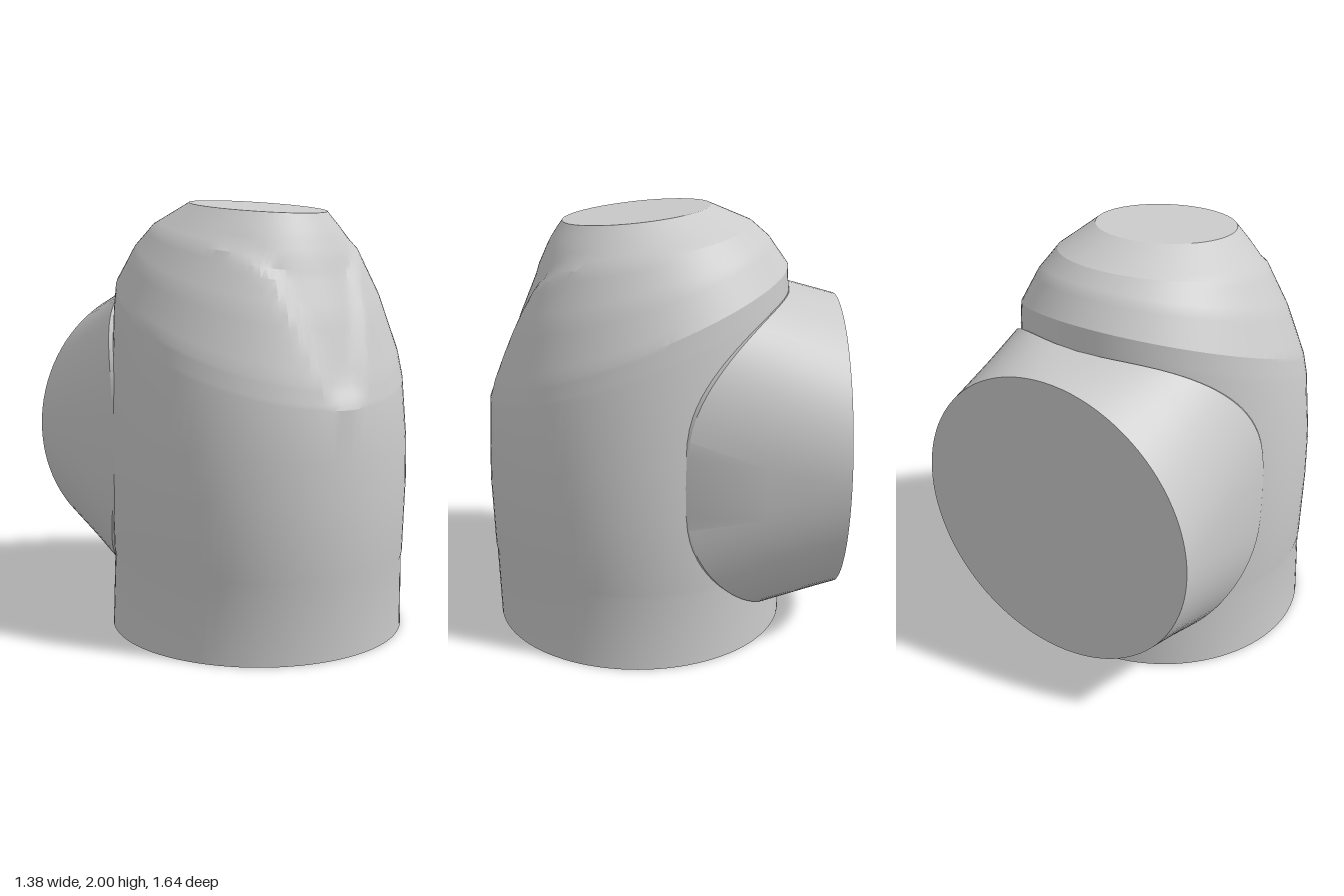
import * as THREE from 'three';
import { toCreasedNormals } from 'three/addons/utils/BufferGeometryUtils.js';

const SEG = 96;
const { lerp, smoothstep } = THREE.MathUtils;

// Skin a list of closed rings (arrays of Vector3), optionally capping the ends.
function loft(rings, capStart, capEnd, crease) {
  const pos = [], idx = [], n = rings[0].length;
  rings.forEach(r => r.forEach(p => pos.push(p.x, p.y, p.z)));
  for (let r = 0; r < rings.length - 1; r++) {
    for (let i = 0; i < n; i++) {
      const a = r * n + i, b = r * n + (i + 1) % n;
      idx.push(a, b, b + n, a, b + n, a + n);
    }
  }
  const cap = (r, flip) => {
    const c = new THREE.Vector3();
    rings[r].forEach(p => c.addScaledVector(p, 1 / n));
    const k = pos.length / 3;
    pos.push(c.x, c.y, c.z);
    for (let i = 0; i < n; i++) {
      const a = r * n + i, b = r * n + (i + 1) % n;
      if (flip) idx.push(k, b, a); else idx.push(k, a, b);
    }
  };
  if (capStart) cap(0, true);
  if (capEnd) cap(rings.length - 1, false);
  const g = new THREE.BufferGeometry();
  g.setAttribute('position', new THREE.Float32BufferAttribute(pos, 3));
  g.setIndex(idx);
  return toCreasedNormals(g, crease);
}

// Tilted elliptical sections: front z, front y, back z, back y, half width
const SECTIONS = [
  [0.80, 0.00, -0.59, 0.00, 0.69],
  [0.81, 0.34, -0.59, 0.34, 0.675],
  [0.815, 0.37, -0.59, 0.37, 0.68],
  [0.825, 0.70, -0.59, 0.75, 0.69],
  [0.82, 0.88, -0.59, 1.05, 0.69],
  [0.81, 1.10, -0.59, 1.62, 0.66],
  [0.785, 1.20, -0.585, 1.73, 0.645],
  [0.69, 1.49, -0.50, 1.85, 0.56],
  [0.59, 1.73, -0.42, 1.92, 0.465],
  [0.45, 1.93, -0.23, 2.00, 0.31],
];

// Point on a section, with the shallow V-shaped hollow pressed into the front
function sectionPoint([fz, fy, bz, by, w], phi) {
  const c = Math.cos(phi), x = w * Math.sin(phi);
  const y = (fy + by) / 2 + (fy - by) / 2 * c;
  let z = (fz + bz) / 2 + (fz - bz) / 2 * c;
  if (c > 0) {
    const half = 0.09 + 0.11 * smoothstep(y, 1.15, 1.65) + 0.2 * smoothstep(y, 1.62, 1.85);
    const fade = smoothstep(y, 1.1, 1.22) * (1 - smoothstep(y, 1.68, 1.88));
    z -= 0.035 * fade * (1 - smoothstep(Math.abs(x), half - 0.06, half + 0.04));
  }
  return new THREE.Vector3(x, y, z);
}

function bodyGeometry() {
  const rings = [];
  SECTIONS.forEach((s, k) => {
    const next = SECTIONS[k + 1];
    const steps = !next ? 1 : k >= 5 ? 5 : 1;
    for (let j = 0; j < steps; j++) {
      const sec = next ? s.map((v, i) => lerp(v, next[i], j / steps)) : s;
      rings.push(Array.from({ length: SEG }, (_, i) => sectionPoint(sec, i / SEG * Math.PI * 2)));
    }
  });
  return loft(rings, true, true, 0.3);
}

// Rear outlet: a round flat end blending to a squarer outline on the body wall
function outletGeometry() {
  const pw = v => Math.sign(v) * Math.pow(Math.abs(v), 2 / 3.2);
  const end = [], root = [], inner = [];
  for (let i = 0; i < SEG; i++) {
    const a = -i / SEG * Math.PI * 2, c = Math.cos(a), s = Math.sin(a);
    end.push(new THREE.Vector3(0.69 * c, 0.875 + 0.695 * s, -0.82));
    const x = 0.658 * pw(c), y = 0.88 + 0.74 * pw(s);
    const z = 0.1 - 0.695 * Math.sqrt(1 - (x / 0.69) ** 2);
    root.push(new THREE.Vector3(x, y, z));
    inner.push(new THREE.Vector3(x * 0.93, 0.88 + (y - 0.88) * 0.93, z + 0.08));
  }
  const mid = end.map((p, i) => p.clone().lerp(root[i], 0.5));
  // reversed winding order runs from the inside out to the flat end
  return loft([inner, root, mid, end], false, true, 0.5);
}

export function createModel() {
  const group = new THREE.Group();
  const material = new THREE.MeshStandardMaterial({ color: 0xcccccc });
  const add = (name, geometry) => {
    const mesh = new THREE.Mesh(geometry, material);
    mesh.name = name;
    group.add(mesh);
  };
  add('body', bodyGeometry());
  add('rearOutlet', outletGeometry());
  return group;
}
